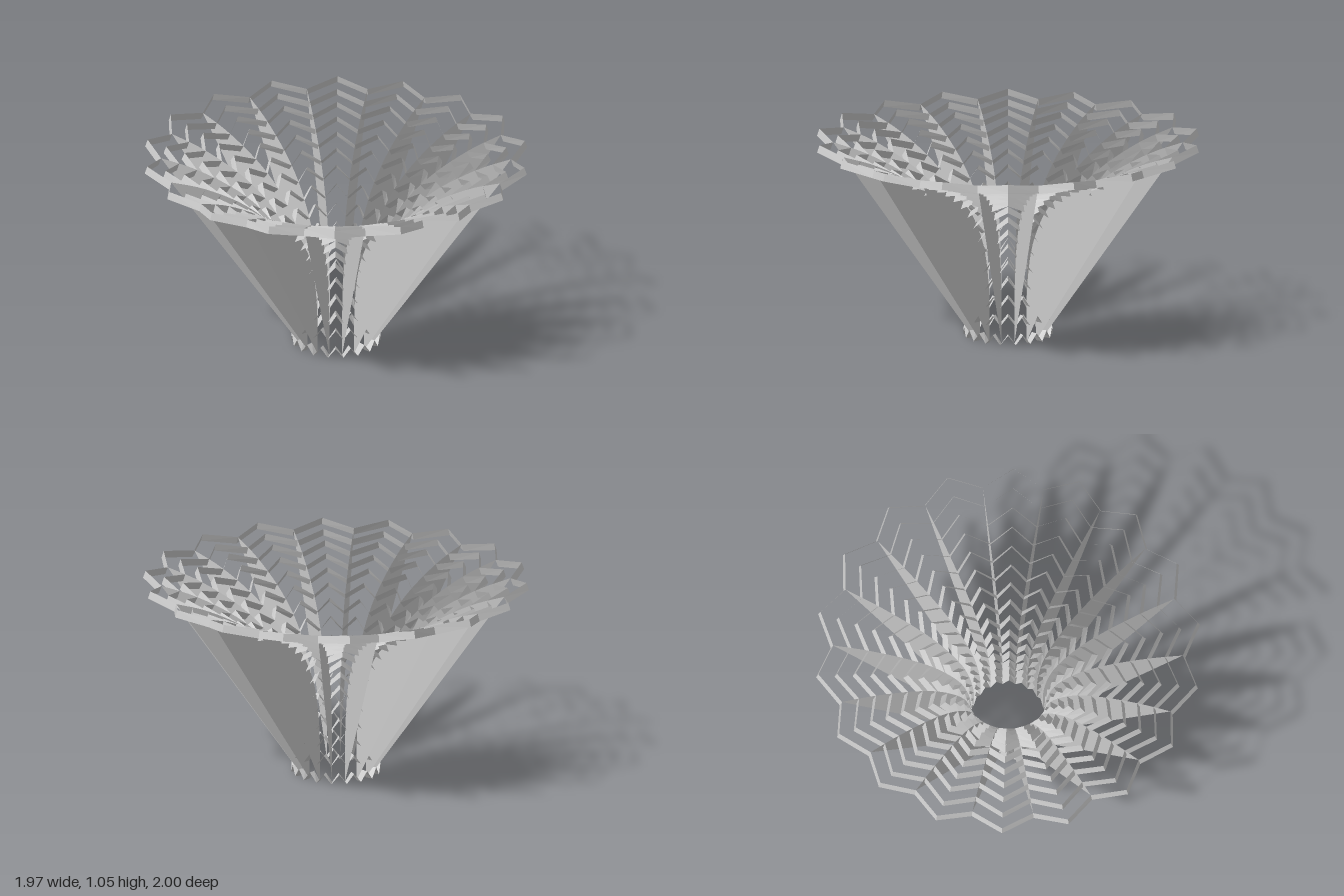
import * as THREE from 'three';

const SIDES = 18, RINGS = 15, DEPTH = 0.04;

// Bowl profile (radius, height), from the foot up to the rim
const profile = new THREE.SplineCurve([
  [0.19, 0], [0.19, 0.2], [0.205, 0.35], [0.24, 0.5], [0.3, 0.62],
  [0.38, 0.73], [0.48, 0.82], [0.6, 0.897], [0.75, 0.97], [0.9, 1.02],
].map(([r, y]) => new THREE.Vector2(r, y)));

const material = new THREE.MeshStandardMaterial({
  color: 0xcccccc, flatShading: true, side: THREE.DoubleSide,
});

// Zigzag band: valleys on the profile, peaks pushed along its tangent
function ringGeometry(t) {
  const base = profile.getPointAt(t);
  const tangent = profile.getTangentAt(t);
  const outward = new THREE.Vector2(tangent.y, -tangent.x).multiplyScalar(DEPTH);
  const peak = base.clone().addScaledVector(tangent, 0.05 + 0.04 * t);
  const positions = [], index = [];
  const count = SIDES * 2;
  for (let i = 0; i < count; i++) {
    const a = (i / count) * Math.PI * 2;
    const inner = i % 2 === 0 ? peak : base;
    for (const p of [inner, inner.clone().add(outward)]) {
      positions.push(p.x * Math.sin(a), Math.max(0, p.y), p.x * Math.cos(a));
    }
    const j = (i + 1) % count;
    index.push(2 * i, 2 * i + 1, 2 * j + 1, 2 * i, 2 * j + 1, 2 * j);
  }
  const indexed = new THREE.BufferGeometry();
  indexed.setAttribute('position', new THREE.Float32BufferAttribute(positions, 3));
  indexed.setIndex(index);
  const geometry = indexed.toNonIndexed();
  geometry.computeVertexNormals();
  return geometry;
}

export function createModel() {
  const model = new THREE.Group();
  model.name = 'slattedBowl';

  // Stacked zigzag rings
  const rings = new THREE.Group();
  rings.name = 'zigzagRings';
  for (let i = 0; i < RINGS; i++) {
    const ring = new THREE.Mesh(ringGeometry(i / (RINGS - 1)), material);
    ring.name = 'zigzagRing';
    rings.add(ring);
  }
  model.add(rings);

  // Thin radial fins: curved inner edge, straight outer edge
  const fins = new THREE.Group();
  fins.name = 'radialFins';
  const finGeometry = new THREE.ShapeGeometry(new THREE.Shape(profile.getSpacedPoints(28)));
  for (let i = 0; i < SIDES; i++) {
    const fin = new THREE.Mesh(finGeometry, material);
    fin.name = 'radialFin';
    fin.rotation.y = (i / SIDES) * Math.PI * 2;
    fins.add(fin);
  }
  model.add(fins);

  return model;
}
